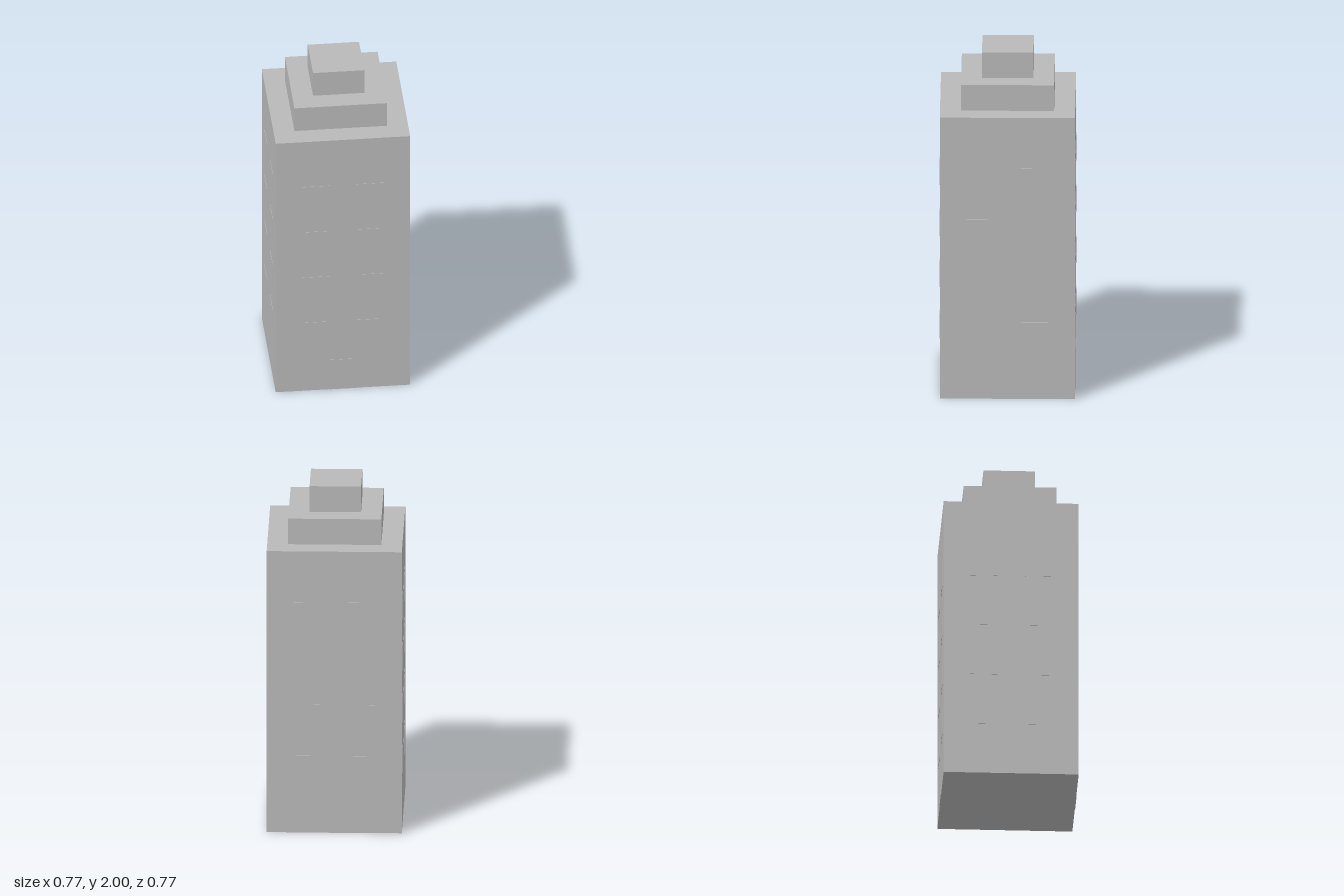
import * as THREE from 'three';

export function createModel() {
  const model = new THREE.Group();
  model.name = 'tower';
  const stone = new THREE.MeshStandardMaterial({ color: 0xb8b8b8 });
  stone.name = 'grey';

  function box(parent, name, w, h, d, x, bottom, z) {
    const mesh = new THREE.Mesh(new THREE.BoxGeometry(w, h, d), stone);
    mesh.name = name;
    mesh.position.set(x, bottom + h / 2, z);
    parent.add(mesh);
  }

  // Main block and two stepped roof tiers
  const half = 0.383;
  box(model, 'mainBlock', half * 2, 1.692, half * 2, 0, 0, 0);
  box(model, 'lowerRoofTier', 0.528, 0.154, 0.528, 0, 1.692, 0);
  box(model, 'upperRoofTier', 0.292, 0.154, 0.292, 0, 1.846, 0);

  // Facades: a 2 x 4 grid of thin windows on every side, doors on front and back
  const thick = 0.004;
  ['front', 'left', 'back', 'right'].forEach((side, i) => {
    const facade = new THREE.Group();
    facade.name = side + 'Facade';
    facade.rotation.y = i * Math.PI / 2;
    for (let row = 0; row < 4; row++) {
      for (const x of [-0.154, 0.154]) {
        box(facade, 'window', 0.154, 0.154, thick, x, 0.308 + row * 0.308, half);
      }
    }
    if (i % 2 === 0) box(facade, 'door', 0.154, 0.2, thick, 0, 0, half);
    model.add(facade);
  });

  return model;
}
